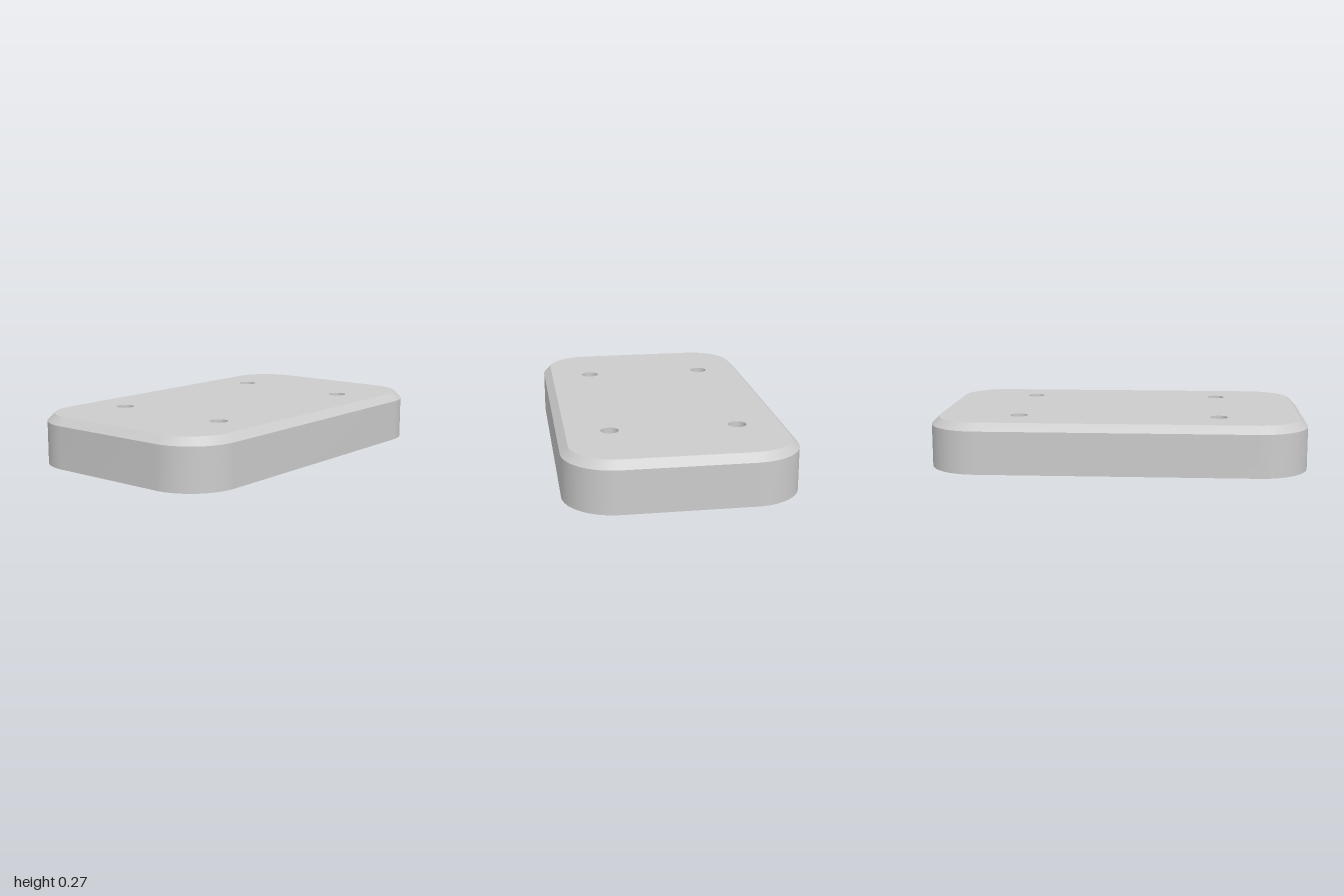
import * as THREE from 'three';
import { toCreasedNormals } from 'three/addons/utils/BufferGeometryUtils.js';

const HALF_X = 1, HALF_Z = 0.6, CORNER = 0.267;
const HEIGHT = 0.267, CHAMFER = 0.04;
const HOLE_X = 0.533, HOLE_Z = 0.333, HOLE_R = 0.047, HOLE_DEPTH = 0.13, TIP = 0.03;
const CORNER_STEPS = 16;

// Rounded rectangle, counter-clockwise, pulled in by an inset
function outline(inset) {
  const r = CORNER - inset, points = [];
  [[1, 1], [-1, 1], [-1, -1], [1, -1]].forEach(([sx, sy], corner) => {
    for (let i = 0; i <= CORNER_STEPS; i++) {
      const a = (corner + i / CORNER_STEPS) * Math.PI / 2;
      points.push(new THREE.Vector2(
        sx * (HALF_X - CORNER) + r * Math.cos(a),
        sy * (HALF_Z - CORNER) + r * Math.sin(a)));
    }
  });
  return points;
}

// Wall strip joining two outlines at different heights
function strip(lower, y0, upper, y1) {
  const positions = [], index = [], n = lower.length;
  for (let i = 0; i < n; i++) {
    positions.push(lower[i].x, y0, -lower[i].y, upper[i].x, y1, -upper[i].y);
    const a = 2 * i, b = 2 * ((i + 1) % n);
    index.push(a, b, b + 1, a, b + 1, a + 1);
  }
  const geometry = new THREE.BufferGeometry();
  geometry.setAttribute('position', new THREE.Float32BufferAttribute(positions, 3));
  geometry.setIndex(index);
  return toCreasedNormals(geometry, 0.5);
}

export function createModel() {
  const group = new THREE.Group();
  group.name = 'plate';
  const material = new THREE.MeshStandardMaterial({ color: 0xcccccc });
  const inside = new THREE.MeshStandardMaterial({ color: 0xcccccc, side: THREE.DoubleSide });
  const add = (name, geometry, mat = material) => {
    const mesh = new THREE.Mesh(geometry, mat);
    mesh.name = name;
    group.add(mesh);
    return mesh;
  };

  const outer = outline(0), inner = outline(CHAMFER);

  // Side wall and chamfered top edge
  add('sideWall', strip(outer, 0, outer, HEIGHT - CHAMFER));
  add('chamfer', strip(outer, HEIGHT - CHAMFER, inner, HEIGHT));

  // Flat underside
  add('underside', new THREE.ShapeGeometry(new THREE.Shape(outer)).rotateX(Math.PI / 2));

  // Top face with four openings, each leading into a blind hole with a conical end
  const top = new THREE.Shape(inner);
  const holeProfile = [
    new THREE.Vector2(0, -HOLE_DEPTH - TIP),
    new THREE.Vector2(HOLE_R, -HOLE_DEPTH),
    new THREE.Vector2(HOLE_R, 0),
  ];
  const holeGeometry = toCreasedNormals(new THREE.LatheGeometry(holeProfile, 32), 0.5);
  for (const sx of [-1, 1]) {
    for (const sz of [-1, 1]) {
      const opening = new THREE.Path();
      opening.absarc(sx * HOLE_X, -sz * HOLE_Z, HOLE_R, 0, Math.PI * 2, true);
      top.holes.push(opening);
      add('blindHole', holeGeometry, inside).position.set(sx * HOLE_X, HEIGHT, sz * HOLE_Z);
    }
  }
  add('topFace', new THREE.ShapeGeometry(top, 16).rotateX(-Math.PI / 2).translate(0, HEIGHT, 0));

  return group;
}
